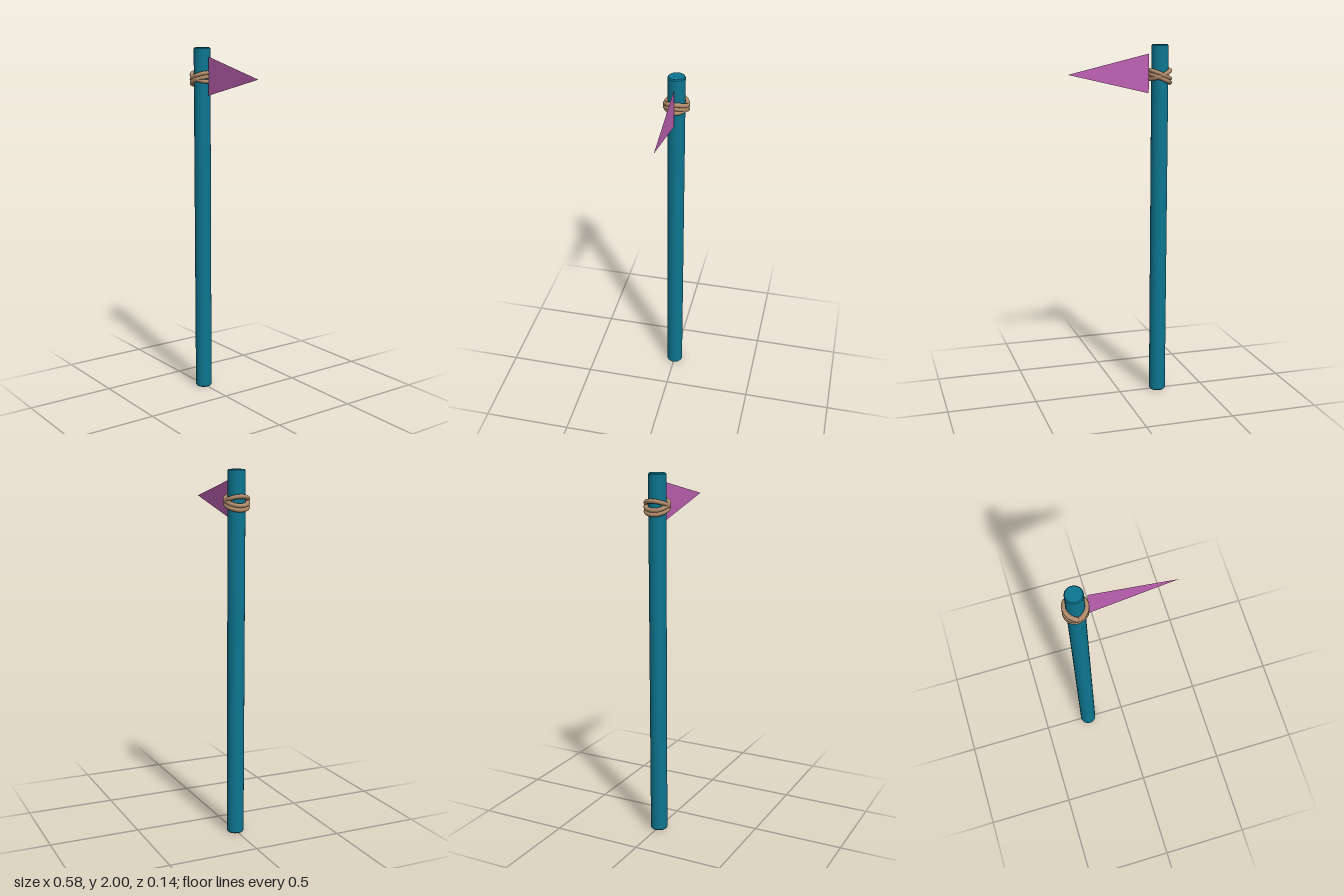
import * as THREE from 'three';

const POLE_X = -0.228;

function part(name, geometry, color, side = THREE.FrontSide) {
  const mesh = new THREE.Mesh(geometry, new THREE.MeshStandardMaterial({ color, side }));
  mesh.name = name;
  return mesh;
}

export function createModel() {
  const group = new THREE.Group();
  group.name = 'pennantPole';

  // Round pole with a small bevel at both ends
  const profile = [[0, 0], [0.042, 0], [0.042, 0], [0.047, 0.006], [0.047, 0.006],
    [0.047, 1.994], [0.047, 1.994], [0.042, 2], [0.042, 2], [0, 2]];
  const pole = part('pole', new THREE.LatheGeometry(profile.map(([x, y]) => new THREE.Vector2(x, y)), 32), 0x0d7690);
  pole.position.x = POLE_X;
  group.add(pole);

  // Rope loops: tilted rings that cross at the front and back
  const rope = new THREE.Group();
  rope.name = 'ropeBinding';
  const loops = [[1.837, 0.41], [1.837, -0.41], [1.815, 0.41]];
  loops.forEach(([y, tilt], i) => {
    const geometry = new THREE.TorusGeometry(0.06, 0.012, 12, 32).rotateX(Math.PI / 2);
    const loop = part(`ropeLoop${i + 1}`, geometry, 0xb08a6a);
    loop.position.set(POLE_X, y, 0);
    loop.rotation.z = tilt;
    rope.add(loop);
  });
  group.add(rope);

  // Thin triangular flag beside the pole
  const outline = new THREE.Shape([
    new THREE.Vector2(-0.165, 1.735),
    new THREE.Vector2(0.29, 1.843),
    new THREE.Vector2(-0.165, 1.95),
  ]);
  group.add(part('flag', new THREE.ShapeGeometry(outline), 0xc061b4, THREE.DoubleSide));

  return group;
}
